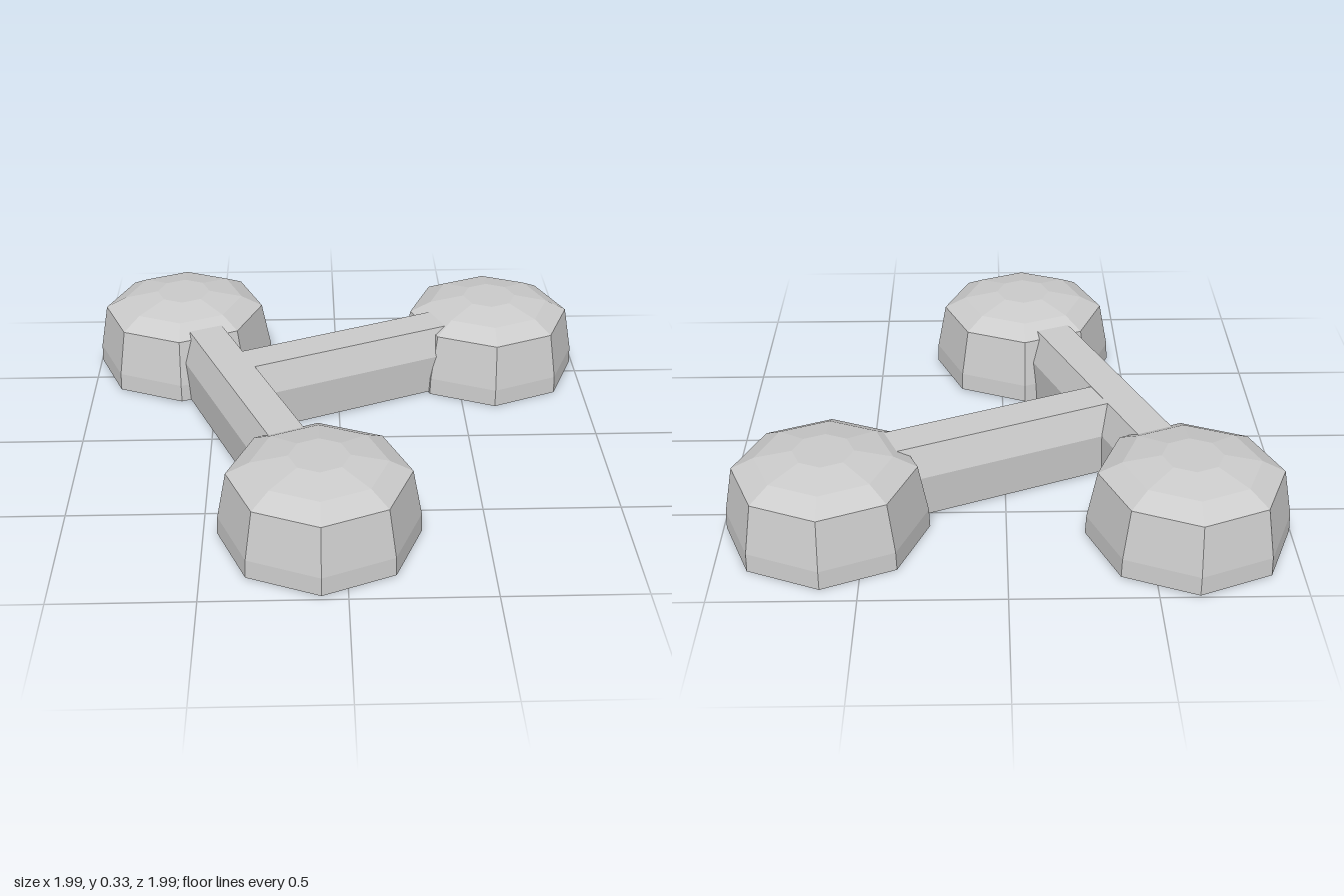
import * as THREE from 'three';

export function createModel() {
  const model = new THREE.Group();
  const material = new THREE.MeshStandardMaterial({ color: 0xcccccc, flatShading: true });

  const add = (name, geometry, x, y, z, turn = 0) => {
    const mesh = new THREE.Mesh(geometry, material);
    mesh.name = name;
    mesh.position.set(x, y, z);
    mesh.rotation.y = turn;
    model.add(mesh);
  };

  // Eight-sided domes with a shallow stepped roof and a flat cap
  const profile = [
    [0, 0], [0.36, 0], [0.357, 0.07], [0.323, 0.25], [0.24, 0.293], [0.107, 0.32], [0, 0.32],
  ].map(([r, y]) => new THREE.Vector2(r, y));
  const dome = new THREE.LatheGeometry(profile, 8);
  add('backRightDome', dome, -0.635, 0.01, -0.64);
  add('frontDome', dome, -0.09, 0.01, 0.63);
  add('backLeftDome', dome, 0.63, 0.003, -0.58);

  // Corridors: flat roof, sloped shoulders, slightly undercut walls
  const half = [[0.1, 0.01], [0.108, 0.17], [0.068, 0.28]];
  const section = new THREE.Shape([
    ...half.map(([x, y]) => new THREE.Vector2(x, y)),
    ...half.slice().reverse().map(([x, y]) => new THREE.Vector2(-x, y)),
  ]);
  const corridor = (length) =>
    new THREE.ExtrudeGeometry(section, { depth: length, bevelEnabled: false }).translate(0, 0, -length / 2);

  add('longCorridor', corridor(1.6), -0.369, 0, -0.003, Math.PI / 8);
  add('sideCorridor', corridor(1.1), 0.129, -0.001, -0.343, Math.PI * 5 / 8);

  return model;
}
